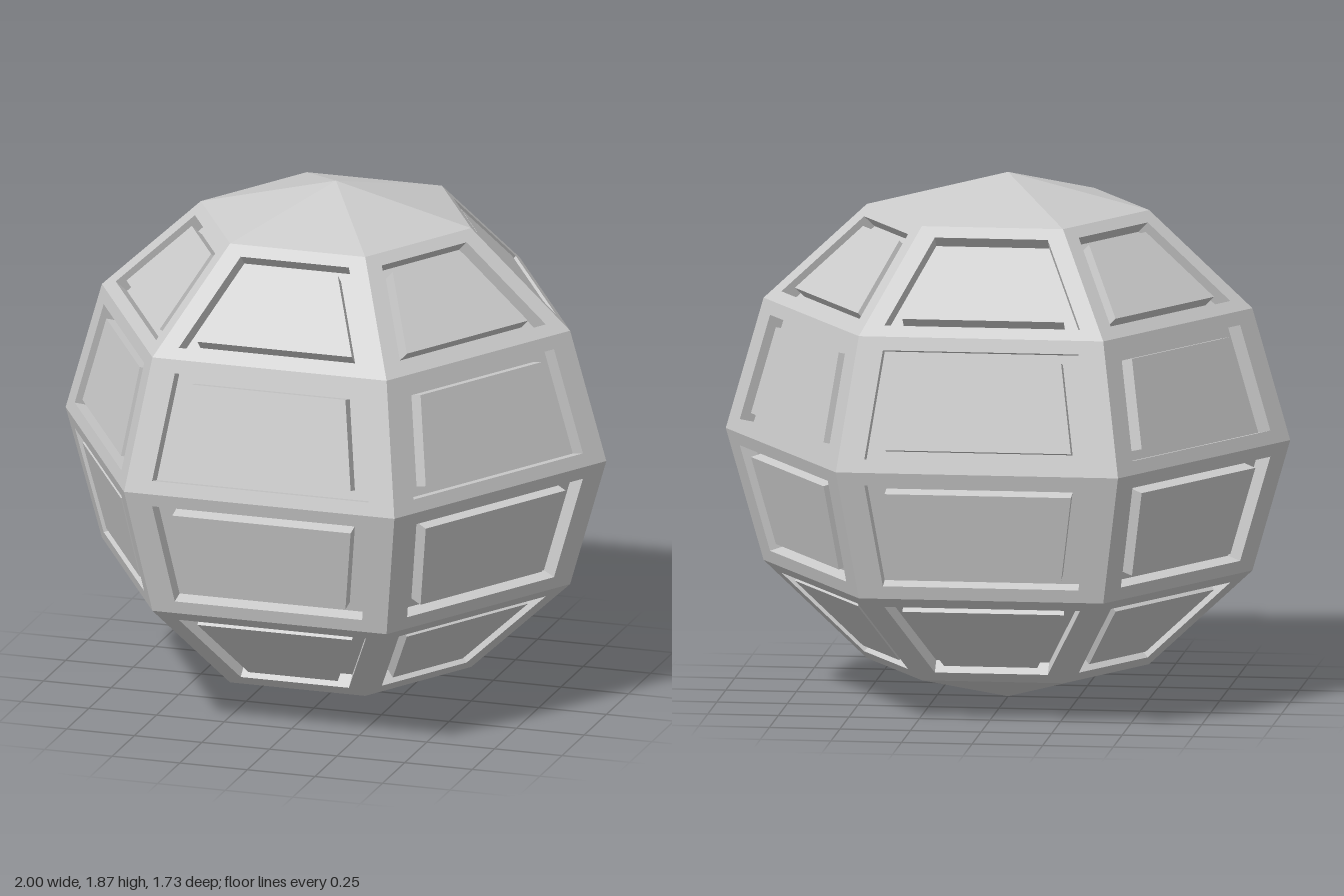
import * as THREE from 'three';

const SIDES = 6, BANDS = 6, HALF_HEIGHT = 0.935;
const OPENING = 0.8, PANEL = 0.66;       // sizes relative to the whole facet
const GROOVE_DEPTH = 0.055, PANEL_DEPTH = 0.005;

// Corner of the six-sided globe; ring 0 is the bottom pole
function corner(ring, side) {
  const polar = (ring / BANDS) * Math.PI;
  const turn = ((side + 0.5) / SIDES) * Math.PI * 2;
  const r = Math.sin(polar);
  return new THREE.Vector3(r * Math.sin(turn), HALF_HEIGHT * (1 - Math.cos(polar)), r * Math.cos(turn));
}

// Outline scaled about its centre and pushed inwards along the facet normal
function inset(loop, scale, depth) {
  const centre = new THREE.Vector3();
  loop.forEach((p) => centre.addScaledVector(p, 1 / loop.length));
  const normal = loop[1].clone().sub(loop[0]).cross(loop[3].clone().sub(loop[0])).normalize();
  return loop.map((p) => p.clone().sub(centre).multiplyScalar(scale).add(centre).addScaledVector(normal, -depth));
}

const addTriangle = (out, ...points) => points.forEach((p) => out.push(p.x, p.y, p.z));

function addQuad(out, a, b, c, d) {
  addTriangle(out, a, b, c);
  addTriangle(out, a, c, d);
}

// Strip of faces joining an outer loop to an inner one
function bridge(out, outer, inner) {
  outer.forEach((p, i) => {
    const j = (i + 1) % outer.length;
    addQuad(out, p, outer[j], inner[j], inner[i]);
  });
}

export function createModel() {
  const group = new THREE.Group();
  const material = new THREE.MeshStandardMaterial({ color: 0xcccccc, flatShading: true });

  function addMesh(name, positions) {
    const geometry = new THREE.BufferGeometry();
    geometry.setAttribute('position', new THREE.Float32BufferAttribute(positions, 3));
    geometry.computeVertexNormals();
    const mesh = new THREE.Mesh(geometry, material);
    mesh.name = name;
    group.add(mesh);
  }

  const frame = [], grooves = [], panels = [], topCap = [], bottomCap = [];
  for (let s = 0; s < SIDES; s++) {
    // Shallow pyramid caps
    addTriangle(topCap, corner(BANDS - 1, s), corner(BANDS - 1, s + 1), corner(BANDS, s));
    addTriangle(bottomCap, corner(0, s), corner(1, s + 1), corner(1, s));

    // Framed facets: border, sunken groove, raised panel
    for (let b = 1; b < BANDS - 1; b++) {
      const facet = [corner(b, s), corner(b, s + 1), corner(b + 1, s + 1), corner(b + 1, s)];
      const rim = inset(facet, OPENING, 0);
      const floor = inset(facet, OPENING, GROOVE_DEPTH);
      const base = inset(facet, PANEL, GROOVE_DEPTH);
      const face = inset(facet, PANEL, PANEL_DEPTH);
      bridge(frame, facet, rim);
      bridge(grooves, rim, floor);
      bridge(grooves, floor, base);
      bridge(panels, base, face);
      addQuad(panels, ...face);
    }
  }

  addMesh('frame', frame);
  addMesh('grooves', grooves);
  addMesh('raisedPanels', panels);
  addMesh('topCap', topCap);
  addMesh('bottomCap', bottomCap);
  return group;
}
